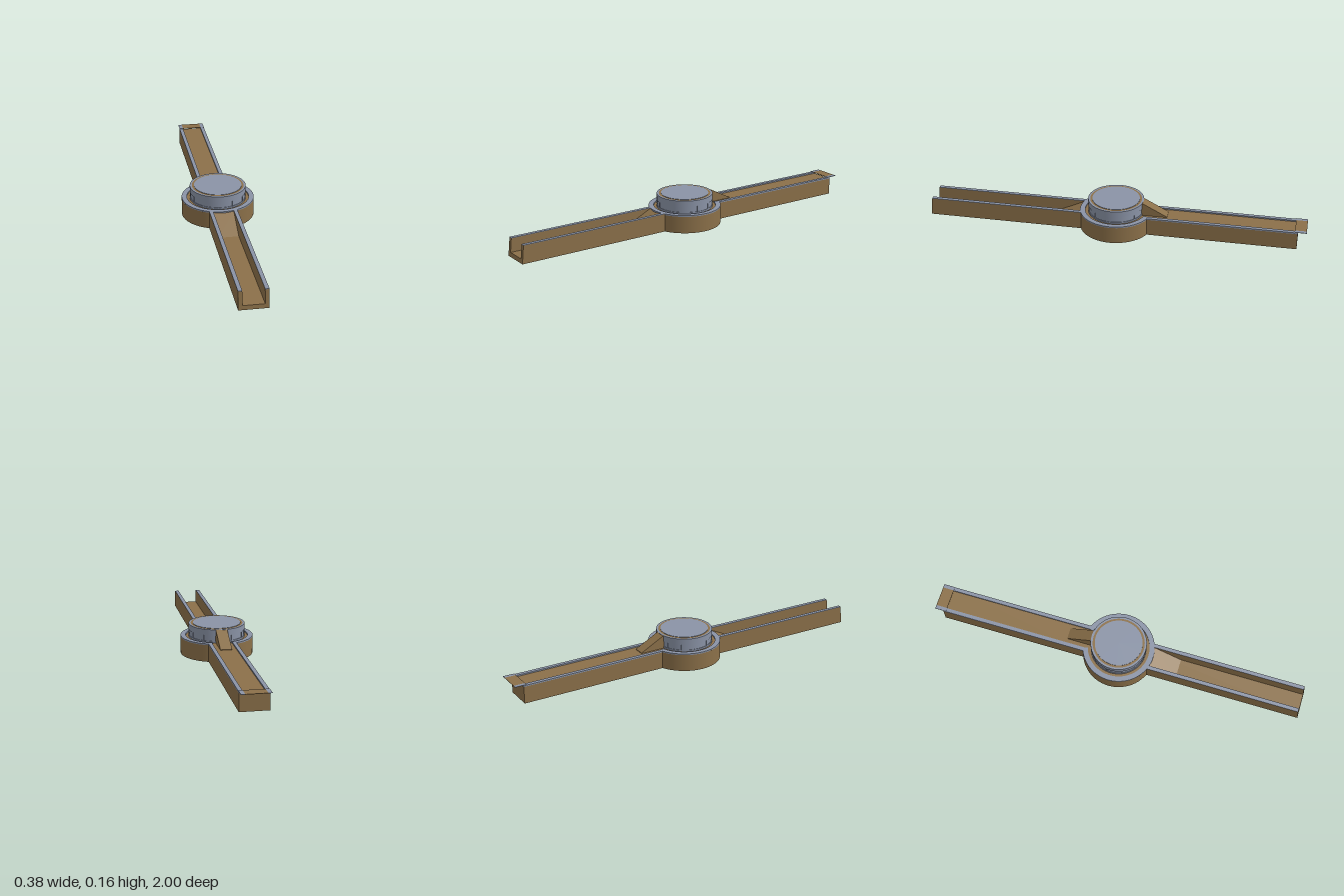
import * as THREE from 'three';

const earth = new THREE.MeshStandardMaterial({ color: 0x8b7049, side: THREE.DoubleSide });
const metal = new THREE.MeshStandardMaterial({ color: 0x8a93a6, side: THREE.DoubleSide });

const ARM = 0.073;     // half width of an arm
const INNER = 0.053;   // half width of its channel
const TOP = 0.096;

export function createModel() {
  const group = new THREE.Group();

  const add = (name, geometry, material) => {
    const mesh = new THREE.Mesh(geometry, material);
    mesh.name = name;
    group.add(mesh);
    return mesh;
  };

  // Side profile of [z, y] points, extruded from x0 to x1
  const prism = (name, points, x0, x1, material) => {
    const shape = new THREE.Shape(points.map(([z, y]) => new THREE.Vector2(z, y)));
    const geometry = new THREE.ExtrudeGeometry(shape, { depth: x1 - x0, bevelEnabled: false });
    geometry.rotateY(-Math.PI / 2).translate(x1, 0, 0);
    return add(name, geometry, material);
  };

  // Turned part; each segment gets its own edge so corners stay sharp
  const turned = (name, points, material, start = 0, length = Math.PI * 2) => {
    const part = new THREE.Group();
    part.name = name;
    for (let i = 0; i < points.length - 1; i++) {
      const pair = [points[i], points[i + 1]].map(([r, y]) => new THREE.Vector2(r, y));
      part.add(new THREE.Mesh(new THREE.LatheGeometry(pair, 64, start, length), material));
    }
    group.add(part);
  };

  // Round basin with a shallow floor; its rim opens towards the back channel
  turned('basin', [[0, 0], [0.19, 0], [0.19, 0.089]], earth);
  turned('basinFloor', [[0.19, 0.089], [0, 0.089]], earth);
  turned('basinRim', [[0.19, 0.089], [0.19, TOP], [0.163, TOP], [0.163, 0.089]],
    metal, Math.PI + 0.3, Math.PI * 2 - 0.6);

  // Front arm: deep open channel with a slanted end and a ramp up to the basin
  prism('frontChannelFloor', [[0.16, 0], [1, 0], [0.997, 0.022], [0.16, 0.022]], -INNER, INNER, earth);
  prism('frontRamp', [[0.17, 0.022], [0.33, 0.022], [0.185, 0.091], [0.17, 0.091]], -INNER, INNER, earth);

  // Back arm: filled almost to the top
  prism('backArm', [[-0.16, 0], [-0.16, 0.089], [-0.955, 0.089], [-0.955, 0]], -ARM, ARM, earth);

  for (const side of [-1, 1]) {
    const x0 = side < 0 ? -ARM : INNER;
    const x1 = side < 0 ? -INNER : ARM;
    prism('frontWall', [[0.16, 0], [1, 0], [0.99, 0.093], [0.16, 0.093]], x0, x1, earth);
    prism('frontRim', [[0.16, 0.093], [0.99, 0.093], [0.99, TOP], [0.16, TOP]], x0, x1, metal);
    prism('backRim', [[-0.16, 0.089], [-0.16, TOP], [-0.955, TOP], [-0.955, 0.089]], x0, x1, metal);
    prism('endPlateEdge', [[-0.94, 0.097], [-0.94, 0.099], [-1, 0.099], [-1, 0.097]], x0, x1, metal);
  }

  // Thin plate overhanging the back end
  prism('endPlate', [[-0.94, 0.097], [-0.94, 0.099], [-1, 0.099], [-1, 0.097]], -INNER, INNER, earth);

  // Central drum: recessed lower band, overhanging upper band and lid
  turned('drum', [[0.144, 0.089], [0.144, 0.128], [0.147, 0.128], [0.147, 0.16], [0.136, 0.16]], metal);
  turned('lidRing', [[0.136, 0.16], [0.125, 0.16]], earth);
  turned('lid', [[0.125, 0.16], [0.125, 0.162], [0, 0.162]], metal);
  turned('drumFoot', [[0.147, 0.089], [0.147, 0.098], [0.144, 0.098]], metal);

  // Slim posts around the lower band
  for (let i = 0; i < 12; i++) {
    const a = -0.14 + i * Math.PI / 6;
    const post = add('drumPost', new THREE.BoxGeometry(0.003, 0.032, 0.004), metal);
    post.position.set(Math.sin(a) * 0.145, 0.112, Math.cos(a) * 0.145);
    post.rotation.y = a;
  }

  // Sloping wedge from the drum down to the back arm
  prism('backWedge', [[-0.13, 0.089], [-0.13, 0.159], [-0.145, 0.159], [-0.275, 0.092], [-0.275, 0.089]],
    -0.03, 0.03, earth);

  return group;
}
